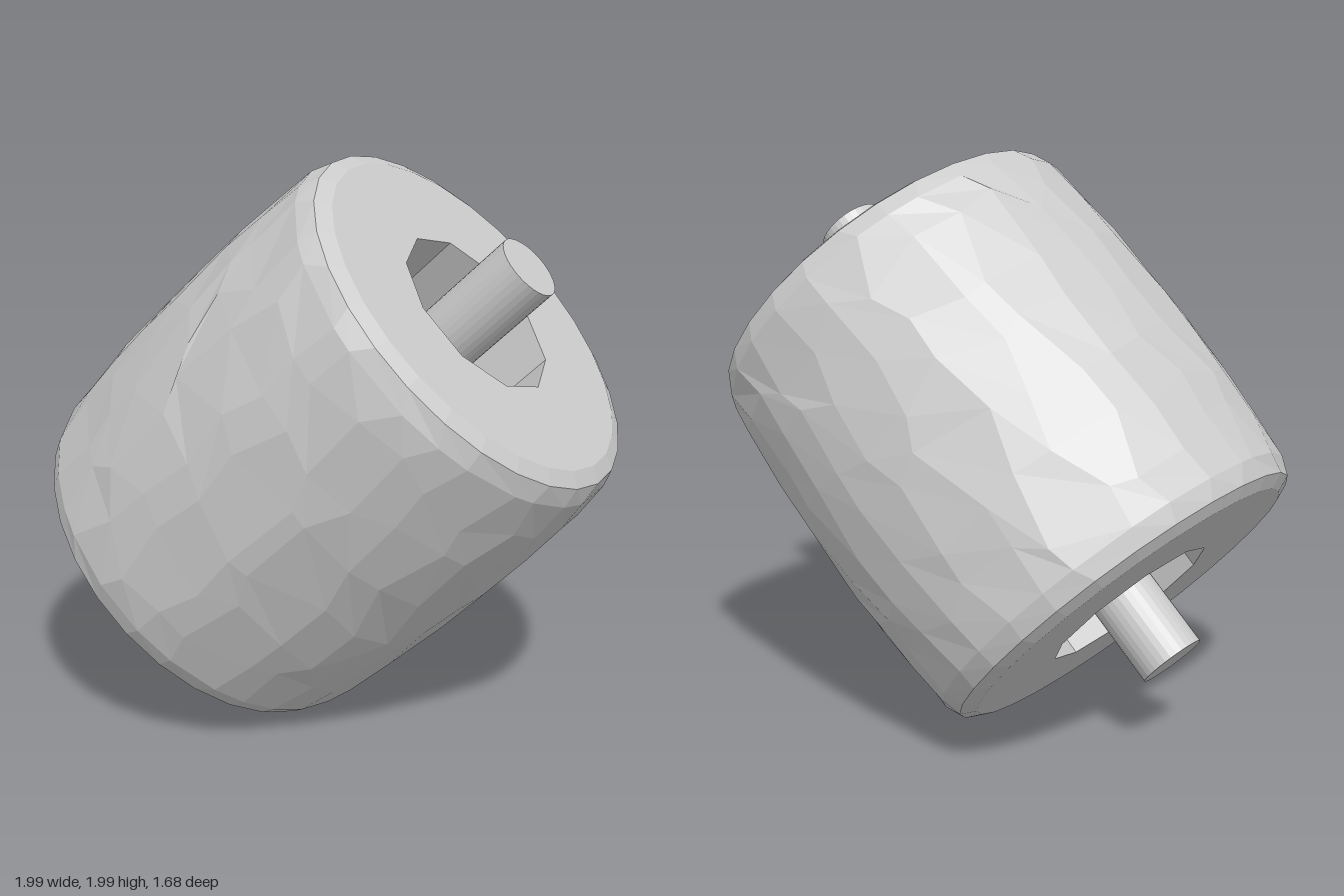
import * as THREE from 'three';

const SIDES = 28;        // sides of the roller
const HOLE_SIDES = 10;   // sides of the end recesses
const HOLE_R = 0.32;
const FACE_Y = 0.74;     // half height of the flat end faces
const FLOOR_Y = 0.36;    // half height of the recess floors

const material = new THREE.MeshStandardMaterial({ color: 0xcccccc, flatShading: true });

function seeded(seed) {
  return () => {
    seed = (seed * 16807) % 2147483647;
    return seed / 2147483647 - 0.5;
  };
}

function makeMesh(geometry, name) {
  const mesh = new THREE.Mesh(geometry, material);
  mesh.name = name;
  return mesh;
}

const lathe = (points, sides) =>
  new THREE.LatheGeometry(points.map(([r, y]) => new THREE.Vector2(r, y)), sides);

// Slightly barrelled shell with rounded rims and irregular facets
function shellGeometry() {
  const half = [[0.757, 0.1], [0.75, 0.3], [0.738, 0.5], [0.722, 0.65], [0.695, 0.715], [0.64, FACE_Y]];
  const profile = [...half.map(([r, y]) => [r, -y]).reverse(), ...half];
  const geometry = lathe(profile, SIDES);
  const pos = geometry.attributes.position;
  const rand = seeded(71);
  const step = (Math.PI * 2) / SIDES;
  const rows = profile.length;
  profile.forEach(([r, y], j) => {
    const loose = j > 1 && j < rows - 2;
    const turns = [], lifts = [];
    for (let i = 0; i < SIDES; i++) {
      turns.push(loose ? rand() * step * 0.75 : 0);
      lifts.push(loose && Math.abs(y) < 0.6 ? rand() * 0.13 : 0);
    }
    for (let i = 0; i <= SIDES; i++) {
      const k = i % SIDES;
      const a = k * step + turns[k];
      pos.setXYZ(i * rows + j, r * Math.sin(a), y + lifts[k], r * Math.cos(a));
    }
  });
  geometry.computeVertexNormals();
  return geometry;
}

function ring(radius, sides) {
  return Array.from({ length: sides }, (_, i) => {
    const a = (i / sides) * Math.PI * 2;
    return new THREE.Vector2(radius * Math.sin(a), -radius * Math.cos(a));
  });
}

// Flat end face with its many-sided recess
function makeEnd(name) {
  const end = new THREE.Group();
  end.name = name;
  const shape = new THREE.Shape(ring(0.64, SIDES));
  shape.holes.push(new THREE.Path(ring(HOLE_R, HOLE_SIDES)));
  const face = new THREE.ShapeGeometry(shape).rotateX(-Math.PI / 2).translate(0, FACE_Y, 0);
  const recess = lathe([[HOLE_R, FACE_Y], [HOLE_R, FLOOR_Y], [0, FLOOR_Y]], HOLE_SIDES);
  end.add(makeMesh(face, 'endFace'), makeMesh(recess, 'recess'));
  return end;
}

export function createModel() {
  const model = new THREE.Group();
  model.name = 'roller';

  const tilted = new THREE.Group();
  tilted.name = 'tiltedRoller';
  tilted.add(makeMesh(shellGeometry(), 'shell'));

  const upper = makeEnd('upperEnd');
  const lower = makeEnd('lowerEnd');
  lower.rotation.x = Math.PI;
  tilted.add(upper, lower);

  // Axle through the whole roller
  tilted.add(makeMesh(new THREE.CylinderGeometry(0.118, 0.118, 1.97, 32), 'axle'));

  // Lean the axis towards +x and slightly back
  const axis = new THREE.Vector3(0.68, 0.68, -0.215).normalize();
  tilted.quaternion.setFromUnitVectors(new THREE.Vector3(0, 1, 0), axis);
  tilted.position.y = 1;
  model.add(tilted);
  return model;
}
